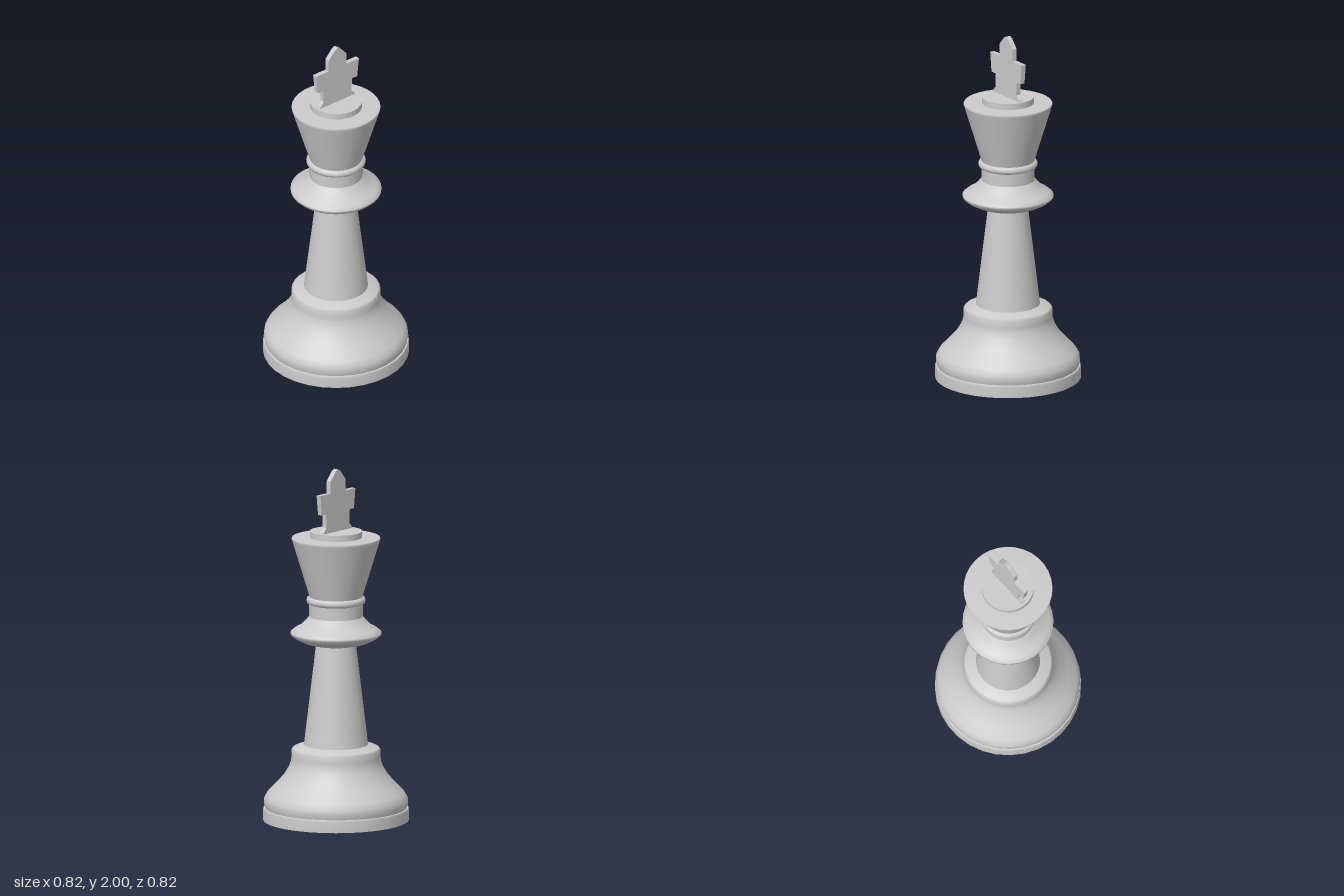
import * as THREE from 'three';

const material = new THREE.MeshStandardMaterial({ color: 0xcccccc });
const SIDES = 32;

// Turned part: smooth within each profile, creased where profiles meet
function turned(name, ...profiles) {
  const part = new THREE.Group();
  part.name = name;
  for (const profile of profiles) {
    const points = profile.map(([r, y]) => new THREE.Vector2(r, y));
    const geometry = new THREE.LatheGeometry(points, SIDES);
    geometry.rotateY(Math.PI / SIDES);
    const mesh = new THREE.Mesh(geometry, material);
    mesh.name = name + 'Surface';
    part.add(mesh);
  }
  return part;
}

// Flat cross with flared foot and pointed top, mirrored from one half outline
function cross() {
  const half = [
    [0.13, 1.64], [0.125, 1.655], [0.1, 1.68], [0.105, 1.757], [0.142, 1.757],
    [0.155, 1.87], [0.065, 1.87], [0.065, 1.94], [0.022, 1.988],
  ];
  const outline = [...half, [0, 2], ...half.map(([x, y]) => [-x, y]).reverse()];
  const shape = new THREE.Shape(outline.map(([x, y]) => new THREE.Vector2(x, y)));
  const geometry = new THREE.ExtrudeGeometry(shape, { depth: 0.028, bevelEnabled: false });
  geometry.translate(0, 0, -0.014);
  const mesh = new THREE.Mesh(geometry, material);
  mesh.name = 'cross';
  return mesh;
}

export function createModel() {
  const model = new THREE.Group();
  model.name = 'chessKing';

  model.add(
    // Foot disc
    turned('footDisc',
      [[0, 0], [0.41, 0]],
      [[0.41, 0], [0.41, 0.06], [0.406, 0.07]],
      [[0.406, 0.07], [0.39, 0.072]]),
    // Bell-shaped base
    turned('base',
      [[0.398, 0.07], [0.405, 0.095], [0.403, 0.125], [0.385, 0.155], [0.34, 0.2],
        [0.296, 0.25], [0.266, 0.3], [0.253, 0.335], [0.25, 0.36], [0.25, 0.4],
        [0.238, 0.412], [0.18, 0.43]]),
    // Tapered shaft
    turned('shaft', [[0.18, 0.43], [0.112, 1.0]]),
    // Wide collar
    turned('collar',
      [[0.1, 1.0], [0.135, 1.002], [0.185, 1.015], [0.235, 1.04], [0.255, 1.058],
        [0.255, 1.072], [0.232, 1.09], [0.196, 1.11], [0.172, 1.135], [0.15, 1.16]]),
    // Neck with thin ring
    turned('neck', [[0.15, 1.16], [0.15, 1.235]]),
    turned('neckRing',
      [[0.15, 1.232], [0.162, 1.237], [0.167, 1.252], [0.162, 1.267], [0.148, 1.273]]),
    // Flared head and its top
    turned('head', [[0.148, 1.27], [0.247, 1.595], [0.25, 1.605], [0.247, 1.61], [0.14, 1.612]]),
    // Small disc under the cross
    turned('crownDisc',
      [[0.147, 1.61], [0.147, 1.647]],
      [[0.147, 1.647], [0, 1.647]]),
    cross(),
  );
  return model;
}
